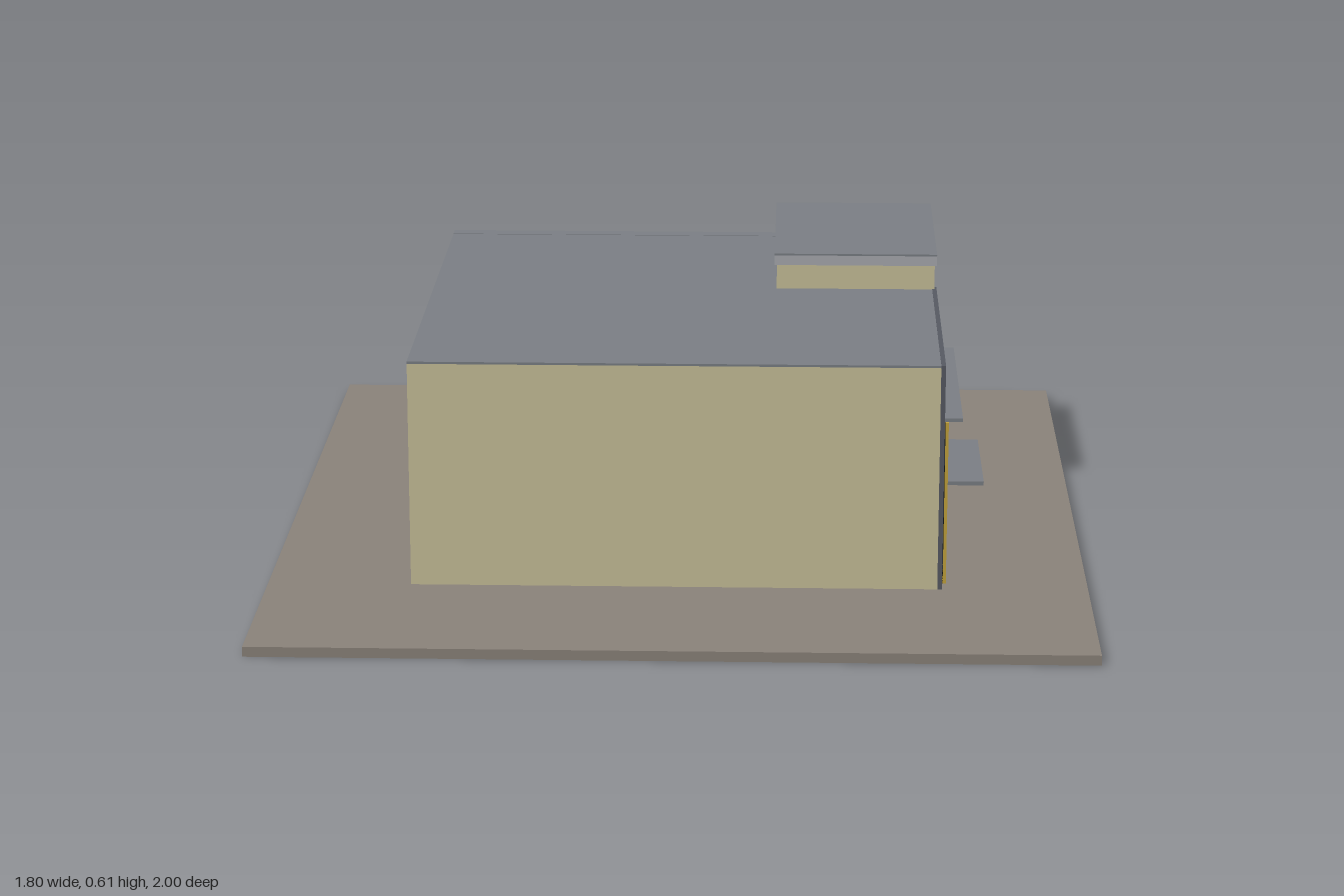
import * as THREE from 'three';

const mat = (color) => new THREE.MeshStandardMaterial({ color });
const M = {
  cream: mat(0xcac29b), dark: mat(0x585b64), gold: mat(0xc6a53c), glass: mat(0x14181c),
  light: mat(0xabacb1), roof: mat(0x7c8086), base: mat(0x8c847b), shelf: mat(0x4a4d54),
};

export function createModel() {
  const model = new THREE.Group();
  let parent = model;

  // Box given by its two extremes on each axis
  const box = (name, m, x0, x1, y0, y1, z0, z1) => {
    const mesh = new THREE.Mesh(new THREE.BoxGeometry(x1 - x0, y1 - y0, z1 - z0), M[m]);
    mesh.position.set((x0 + x1) / 2, (y0 + y1) / 2, (z0 + z1) / 2);
    mesh.name = name;
    parent.add(mesh);
  };
  const section = (name) => {
    parent = new THREE.Group();
    parent.name = name;
    model.add(parent);
  };
  // Glass sheet with a grid of bars, facing the back (-z)
  const backGlazing = (name, x0, x1, y0, y1, z, cols, rows) => {
    box(name + 'Glass', 'glass', x0, x1, y0, y1, z, z + 0.02);
    const t = 0.004;
    for (let i = 0; i <= cols; i++) {
      const x = x0 + t + (x1 - x0 - 2 * t) * i / cols;
      box(name + 'Mullion', 'light', x - t, x + t, y0, y1, z - 0.008, z);
    }
    for (let j = 0; j <= rows; j++) {
      const y = y0 + t + (y1 - y0 - 2 * t) * j / rows;
      box(name + 'Transom', 'light', x0, x1, y - t, y + t, z - 0.007, z);
    }
  };

  // Ground slab and main volumes
  section('mainBuilding');
  box('groundSlab', 'base', -0.9, 0.9, 0, 0.022, -1, 1);
  box('mainBlock', 'cream', -0.585, 0.578, 0.022, 0.525, -0.58, 0.585);
  box('mainRoof', 'roof', -0.585, 0.578, 0.525, 0.53, -0.58, 0.585);
  box('tower', 'cream', 0.21, 0.575, 0.53, 0.59, -0.575, -0.07);
  box('towerBand', 'light', 0.205, 0.58, 0.587, 0.61, -0.58, -0.065);
  box('towerRoof', 'roof', 0.205, 0.58, 0.61, 0.614, -0.58, -0.065);

  // Tall tower windows on the left side
  section('towerWindows');
  for (const z of [-0.283, -0.369]) {
    box('windowFrame', 'light', 0.57, 0.582, 0.06, 0.407, z - 0.031, z + 0.031);
    box('windowGlass', 'glass', 0.575, 0.584, 0.07, 0.398, z - 0.025, z + 0.025);
  }

  // Dark entrance wall on the left side
  section('entrance');
  box('entranceWall', 'dark', 0.57, 0.58, 0.022, 0.531, -0.09, 0.587);
  box('entranceGlass', 'glass', 0.575, 0.583, 0.022, 0.39, -0.04, 0.545);
  for (const z of [0.535, 0.435, 0.082, -0.027]) {
    box('tallPost', 'gold', 0.575, 0.59, 0.022, 0.39, z - 0.01, z + 0.01);
  }
  for (const z of [0.335, 0.283, 0.228, 0.18]) {
    box('shortPost', 'gold', 0.575, 0.589, 0.216, 0.39, z - 0.008, z + 0.008);
  }
  for (const z of [0.309, 0.255, 0.204]) {
    box('upperPanel', 'dark', 0.575, 0.586, 0.216, 0.39, z - 0.015, z + 0.015);
  }
  for (const z of [0.485, 0.028]) {
    box('sidePanel', 'dark', 0.575, 0.586, 0.2, 0.295, z - 0.04, z + 0.04);
    for (let i = -2; i <= 2; i++) {
      box('sideBar', 'dark', 0.58, 0.587, 0.295, 0.39, z + i * 0.017 - 0.0015, z + i * 0.017 + 0.0015);
    }
  }
  for (let i = 0; i <= 18; i++) {
    const z = 0.1 + i * 0.0175;
    box('doorBar', 'shelf', 0.58, 0.588, 0.022, 0.205, z - 0.0015, z + 0.0015);
  }
  box('upperCanopy', 'roof', 0.575, 0.621, 0.39, 0.398, -0.045, 0.535);
  box('lowerCanopy', 'roof', 0.575, 0.675, 0.207, 0.216, 0.088, 0.412);

  // Back wall bay with gold fascia
  section('backBay');
  box('bayWall', 'cream', -0.585, 0.51, 0.22, 0.526, -0.606, -0.575);
  box('bayRoof', 'roof', -0.585, 0.51, 0.526, 0.531, -0.612, -0.575);
  box('goldFascia', 'gold', -0.586, 0.509, 0.485, 0.527, -0.613, -0.6);
  box('goldPanel', 'gold', 0.27, 0.509, 0.24, 0.527, -0.613, -0.6);
  box('bayWindowFrame', 'light', 0.315, 0.45, 0.28, 0.485, -0.632, -0.61);
  box('bayWindowGlass', 'glass', 0.328, 0.437, 0.293, 0.472, -0.636, -0.63);
  box('bayWindowBar', 'light', 0.315, 0.45, 0.375, 0.383, -0.638, -0.63);

  // Middle glazing above the canopy
  section('middleGlazing');
  box('glazingCore', 'dark', -0.14, 0.265, 0.22, 0.465, -0.63, -0.6);
  backGlazing('middle', -0.14, 0.265, 0.24, 0.465, -0.642, 5, 4);
  box('endPost', 'gold', 0.262, 0.274, 0.24, 0.467, -0.648, -0.61);
  box('middleCap', 'light', -0.14, 0.27, 0.465, 0.494, -0.655, -0.61);
  box('middleCapRoof', 'roof', -0.14, 0.27, 0.493, 0.497, -0.656, -0.61);

  // Stepped canopy, column and low walls
  section('backPorch');
  box('narrowCanopy', 'dark', 0.265, 0.51, 0.2, 0.238, -0.66, -0.575);
  box('narrowCanopyTop', 'roof', 0.265, 0.51, 0.237, 0.241, -0.66, -0.575);
  box('wideCanopy', 'dark', -0.14, 0.268, 0.2, 0.238, -0.738, -0.575);
  box('wideCanopyTop', 'roof', -0.14, 0.268, 0.237, 0.241, -0.739, -0.575);
  box('column', 'cream', 0.155, 0.268, 0.022, 0.2, -0.735, -0.575);
  box('plinth', 'cream', 0.265, 0.51, 0.022, 0.032, -0.708, -0.575);
  box('porchWindowFrame', 'light', 0.31, 0.47, 0.06, 0.19, -0.588, -0.575);
  box('lowWall', 'dark', -0.14, 0.155, 0.022, 0.09, -0.72, -0.7);

  // Door portal
  section('portal');
  box('portalBlock', 'dark', -0.28, -0.14, 0.022, 0.462, -0.73, -0.575);
  box('portalCap', 'light', -0.283, -0.137, 0.46, 0.495, -0.74, -0.61);
  box('portalCapRoof', 'roof', -0.283, -0.137, 0.494, 0.498, -0.74, -0.61);
  box('doorFrame', 'light', -0.26, -0.175, 0.06, 0.405, -0.738, -0.72);
  box('doorGlass', 'glass', -0.25, -0.185, 0.07, 0.396, -0.745, -0.73);

  // Right-hand glazed wing with sunshade
  section('glazedWing');
  box('wingCore', 'dark', -0.585, -0.28, 0.022, 0.465, -0.69, -0.575);
  box('wingPlinth', 'light', -0.587, -0.28, 0.022, 0.07, -0.705, -0.68);
  backGlazing('wing', -0.582, -0.28, 0.07, 0.465, -0.697, 4, 6);
  box('wingCap', 'light', -0.587, -0.28, 0.463, 0.484, -0.708, -0.6);
  box('wingCapRoof', 'roof', -0.587, -0.28, 0.483, 0.488, -0.71, -0.6);
  box('sunshade', 'shelf', -0.585, -0.282, 0.235, 0.248, -0.762, -0.69);

  return model;
}
